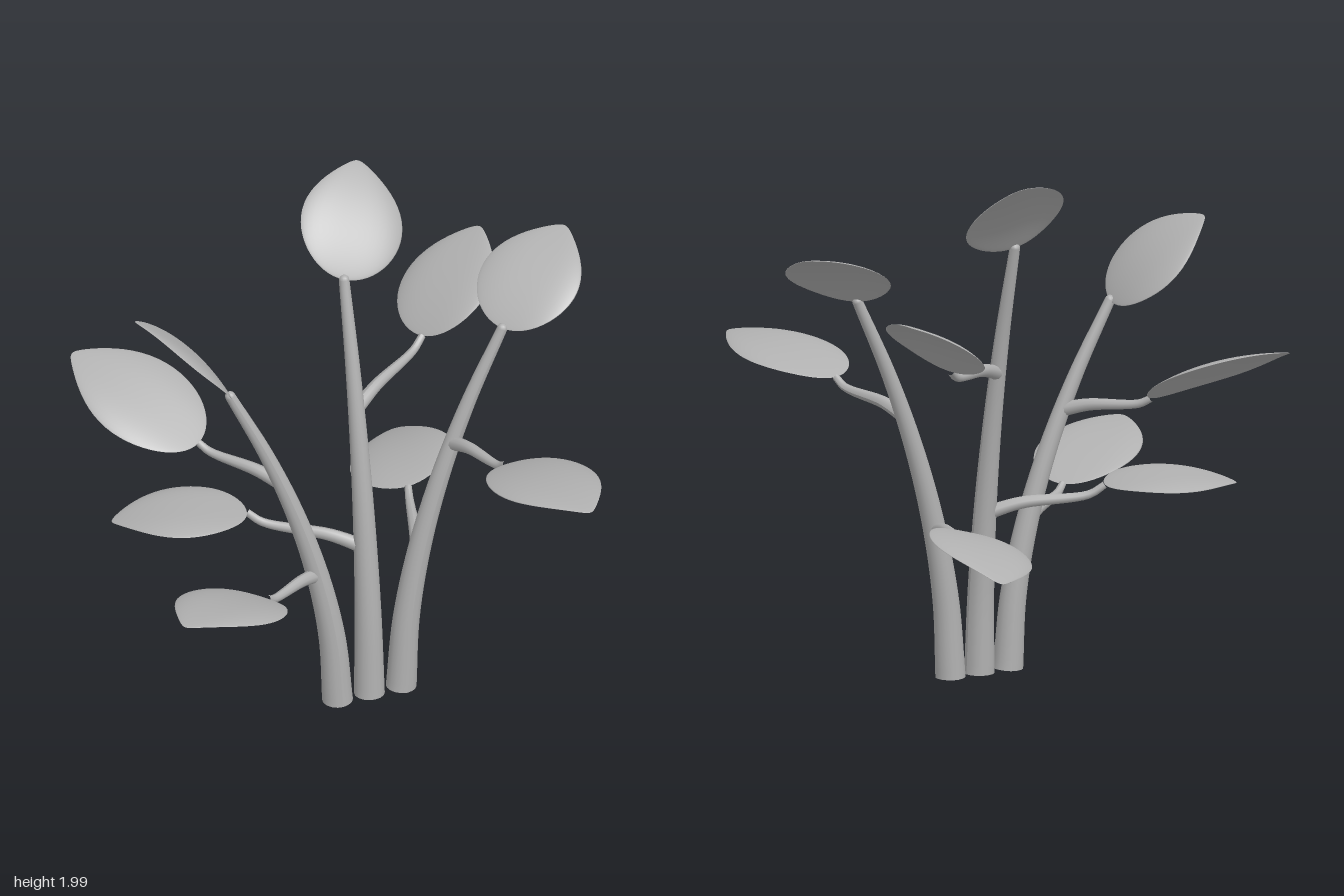
import * as THREE from 'three';

const V = (p) => new THREE.Vector3(...p);

// Tube whose radius runs evenly from r0 to r1
function taperedTube(points, r0, r1, segments, sides) {
  const curve = new THREE.CatmullRomCurve3(points);
  const geo = new THREE.TubeGeometry(curve, segments, 1, sides);
  const pos = geo.attributes.position;
  const v = new THREE.Vector3();
  for (let i = 0; i < pos.count; i++) {
    const t = Math.floor(i / (sides + 1)) / segments;
    const c = curve.getPointAt(t);
    v.fromBufferAttribute(pos, i).sub(c).multiplyScalar(r0 + (r1 - r0) * t).add(c);
    pos.setXYZ(i, v.x, Math.max(0, v.y), v.z);
  }
  geo.computeVertexNormals();
  return geo;
}

// Thin arched blade from base to tip; the upper face looks along `up`
function leafGeometry(base, tip, up) {
  const geo = new THREE.SphereGeometry(1, 36, 28);
  const dir = tip.clone().sub(base);
  const length = dir.length();
  dir.normalize();
  const side = dir.clone().cross(up).normalize();
  const normal = side.clone().cross(dir);
  const pos = geo.attributes.position;
  for (let i = 0; i < pos.count; i++) {
    const t = (pos.getY(i) + 1) / 2;
    const x = pos.getX(i);
    const halfWidth = 0.205 * (1 - 0.6 * t ** 4);
    const arch = 0.14 * t * (1 - t);
    const rim = -0.018 * x ** 4;
    pos.setXYZ(i, x * halfWidth, t * length, pos.getZ(i) * 0.008 + arch + rim);
  }
  geo.applyMatrix4(new THREE.Matrix4().makeBasis(side, dir, normal).setPosition(base));
  geo.computeVertexNormals();
  return geo;
}

// Leaf stalk that leaves the stem level and hooks up into the blade
function stalkGeometry(a, b) {
  const at = (f, fy) => new THREE.Vector3(
    a.x + (b.x - a.x) * f, a.y + (b.y - a.y) * fy, a.z + (b.z - a.z) * f);
  return taperedTube([a, at(0.3, 0.38), at(0.87, 0.66), b], 0.028, 0.014, 20, 10);
}

// Each stem has a top leaf and two side leaves; `tilt` leans the blade's upper face in x and z
const stems = [
  {
    name: 'rightStem', footX: -0.1, top: [-0.5, 1.385, -0.14],
    topLeaf: { tip: [-0.82, 1.7, -0.3], tilt: [1, -0.07] },
    sideLeaves: [
      { height: 0.56, base: [-0.46, 0.63, 0.12], tip: [-0.92, 0.78, 0.41], tilt: [0.21, -0.16] },
      { height: 0.98, base: [-0.525, 1.05, -0.38], tip: [-0.85, 1.27, -0.83], tilt: [0, 0.5] },
    ],
  },
  {
    name: 'middleStem', footX: 0.03, top: [0.03, 1.685, -0.29],
    topLeaf: { tip: [0.22, 1.99, -0.6], tilt: [0, 1] },
    sideLeaves: [
      { height: 0.62, base: [-0.35, 0.73, -0.33], tip: [-0.83, 0.71, -0.5], tilt: [-0.08, -0.08] },
      { height: 1.18, base: [0.4, 1.28, -0.41], tip: [0.74, 1.54, -0.66], tilt: [-0.69, 0.19] },
    ],
  },
  {
    name: 'leftStem', footX: 0.16, top: [0.56, 1.495, -0.02],
    topLeaf: { tip: [0.91, 1.74, -0.24], tilt: [-0.56, 0.5] },
    sideLeaves: [
      { height: 0.57, base: [0.33, 0.65, -0.38], tip: [0.5, 0.57, -0.9], tilt: [-0.21, -0.21] },
      { height: 1.03, base: [0.43, 1.12, 0.32], tip: [0.53, 1.205, 0.89], tilt: [0, -0.15] },
    ],
  },
];

export function createModel() {
  const model = new THREE.Group();
  model.name = 'leafyPlant';
  const grey = new THREE.MeshStandardMaterial({ color: 0xb0b0b0 });
  grey.name = 'plainGrey';
  const add = (parent, name, geo) => {
    const mesh = new THREE.Mesh(geo, grey);
    mesh.name = name;
    parent.add(mesh);
    return mesh;
  };

  for (const { name, footX, top, topLeaf, sideLeaves } of stems) {
    const group = new THREE.Group();
    group.name = name;
    model.add(group);

    // The stem rises upright and leans more and more towards its top
    const foot = new THREE.Vector3(footX, 0, -0.05);
    const end = V(top);
    const stemAt = (y) => {
      const p = foot.clone().lerp(end, (y / end.y) ** 1.85);
      p.y = y;
      return p;
    };
    const path = [0, 0.2, 0.4, 0.6, 0.8, 1].map((f) => stemAt(f * end.y));
    add(group, 'stem', taperedTube(path, 0.058, 0.02, 48, 16));

    // Flat cut at the foot and rounded top of the stem
    const cut = add(group, 'stemFoot', new THREE.CircleGeometry(0.058, 16));
    cut.rotation.x = Math.PI / 2;
    cut.position.copy(foot);
    add(group, 'stemTop', new THREE.SphereGeometry(0.02, 12, 8)).position.copy(end);

    const addLeaf = (leafName, base, { tip, tilt }) =>
      add(group, leafName, leafGeometry(base, V(tip), new THREE.Vector3(tilt[0], 1, tilt[1])));
    addLeaf('topLeaf', end, topLeaf);
    for (const leaf of sideLeaves) {
      const base = V(leaf.base);
      add(group, 'leafStalk', stalkGeometry(stemAt(leaf.height), base));
      addLeaf('sideLeaf', base, leaf);
    }
  }
  return model;
}
